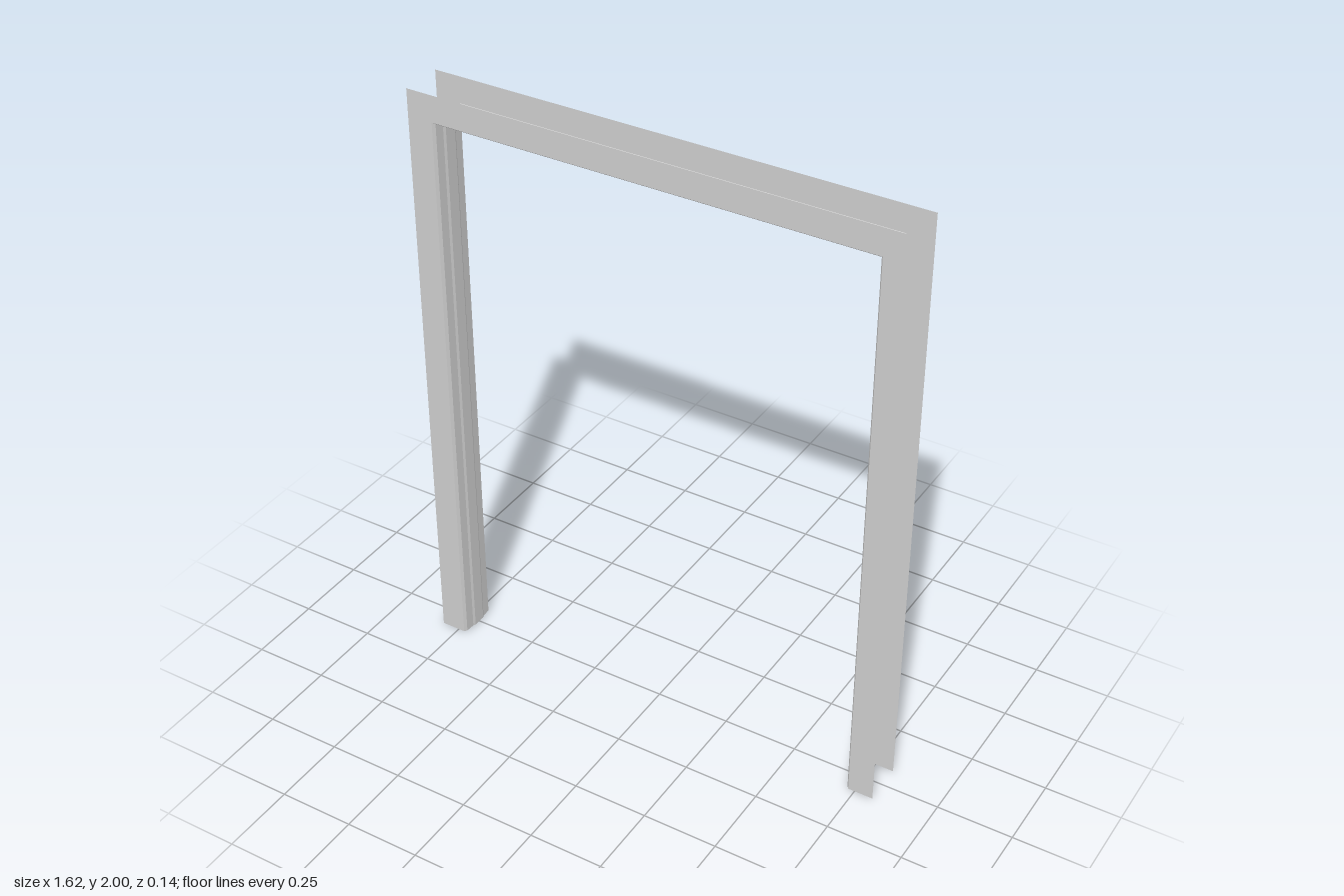
import * as THREE from 'three';

const OUTER = 0.812, INNER = 0.728, TOP = 2, HEAD = 1.912, DEPTH = 0.071;

export function createModel() {
  const group = new THREE.Group();
  const material = new THREE.MeshStandardMaterial({ color: 0xcccccc, side: THREE.DoubleSide, flatShading: true });
  const add = (name, geometry) => {
    const mesh = new THREE.Mesh(geometry, material);
    mesh.name = name;
    group.add(mesh);
    return mesh;
  };

  // Flat casing on each face of the wall: an upside-down U
  const casing = new THREE.Shape([
    [-OUTER, 0], [-INNER, 0], [-INNER, HEAD], [INNER, HEAD],
    [INNER, 0], [OUTER, 0], [OUTER, TOP], [-OUTER, TOP],
  ].map(([x, y]) => new THREE.Vector2(x, y)));
  const casingGeometry = new THREE.ShapeGeometry(casing);
  add('frontCasing', casingGeometry).position.z = DEPTH;
  const back = add('backCasing', casingGeometry);
  back.position.z = -DEPTH;
  back.rotation.y = Math.PI;

  // Lining profile, [z, distance into the opening], with a shallow stop in the middle
  const half = [[DEPTH, 0], [0.062, 0.007], [0.03, 0.009], [0.022, 0.013]];
  const profile = [...half, ...half.map(([z, d]) => [-z, d]).reverse()];

  // Sweep the profile up one jamb, across the head and down the other, with mitred corners
  const stations = (d) => [
    [INNER - d, 0], [INNER - d, HEAD - d], [-INNER + d, HEAD - d], [-INNER + d, 0],
  ];
  ['leftJamb', 'headJamb', 'rightJamb'].forEach((name, s) => {
    const positions = [], index = [];
    profile.forEach(([z, d], i) => {
      const path = stations(d);
      positions.push(...path[s], z, ...path[s + 1], z);
      if (i > 0) {
        const a = 2 * (i - 1);
        index.push(a, a + 2, a + 1, a + 1, a + 2, a + 3);
      }
    });
    const geometry = new THREE.BufferGeometry();
    geometry.setAttribute('position', new THREE.Float32BufferAttribute(positions, 3));
    geometry.setIndex(index);
    const flat = geometry.toNonIndexed();
    flat.computeVertexNormals();
    add(name, flat);
  });

  return group;
}
